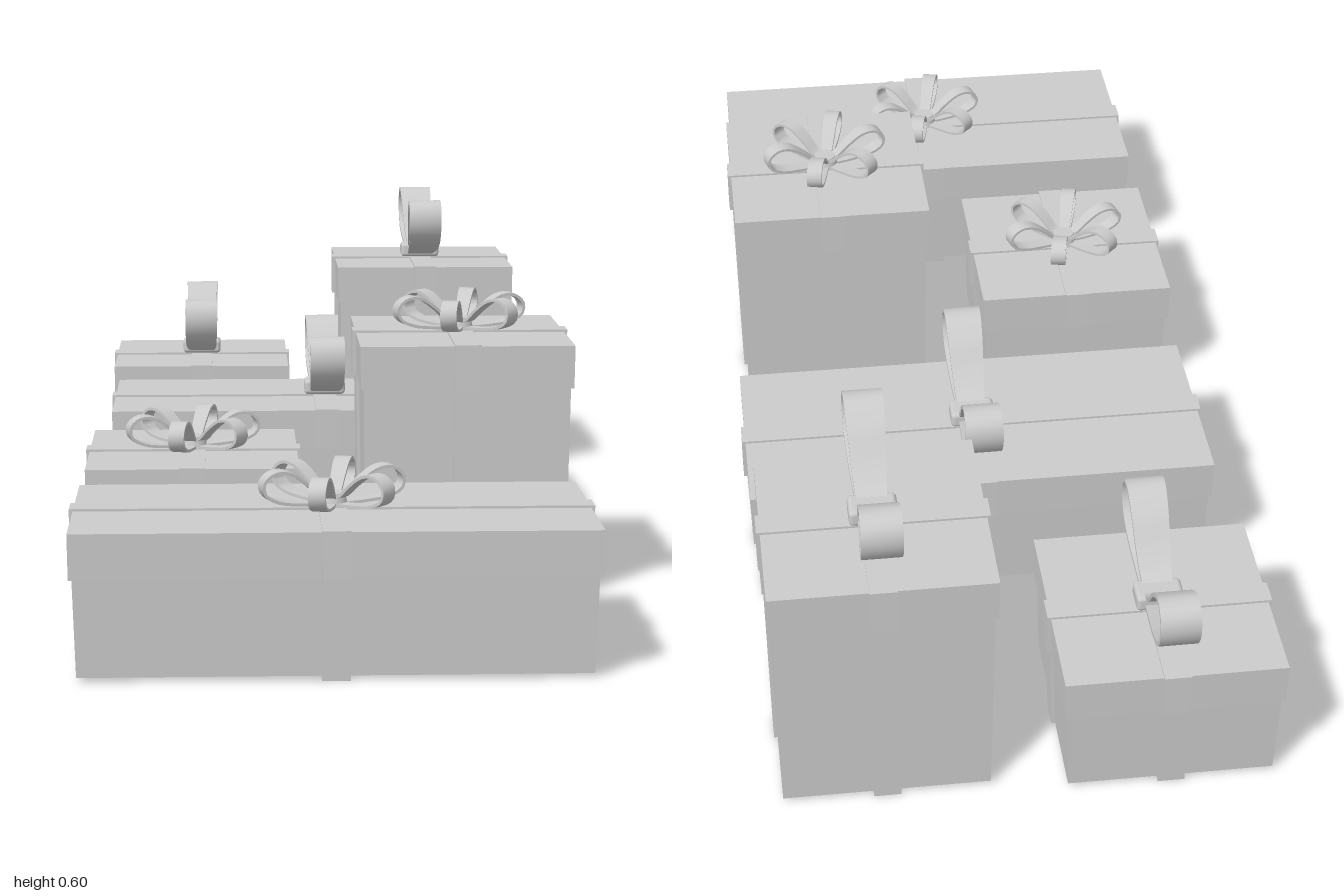
import * as THREE from 'three';
import { toCreasedNormals } from 'three/addons/utils/BufferGeometryUtils.js';
import { RoundedBoxGeometry } from 'three/addons/geometries/RoundedBoxGeometry.js';

const grey = new THREE.MeshStandardMaterial({ color: 0xcccccc });
const LID = 0.075, DEPTH = 0.375, BAND = 0.046, BASE = 0.007;

function addMesh(parent, name, geometry, y = 0) {
  const mesh = new THREE.Mesh(geometry, grey);
  mesh.name = name;
  mesh.position.y = y;
  parent.add(mesh);
  return mesh;
}

// Box from y0 to y1 whose lower corners are pulled in by insetX and insetZ
function taperedBox(w, d, y0, y1, insetX = 0, insetZ = 0) {
  const g = new THREE.BoxGeometry(w, y1 - y0, d);
  const p = g.attributes.position;
  for (let i = 0; i < p.count; i++) {
    if (p.getY(i) < 0) {
      p.setX(i, p.getX(i) - Math.sign(p.getX(i)) * insetX);
      p.setZ(i, p.getZ(i) - Math.sign(p.getZ(i)) * insetZ);
    }
  }
  g.translate(0, (y0 + y1) / 2, 0);
  g.computeVertexNormals();
  return g;
}

// Flat ribbon swept along a [z, y] curve, its width running along x
function ribbonStrip(points, widthAt, thickness, steps = 40) {
  const curve = new THREE.CatmullRomCurve3(points.map(([z, y]) => new THREE.Vector3(0, y, z)));
  const position = [], index = [];
  for (let i = 0; i <= steps; i++) {
    const t = i / steps, c = curve.getPointAt(t), tan = curve.getTangentAt(t);
    const w = widthAt(t) / 2, h = thickness / 2;
    for (const [sx, sn] of [[-1, -1], [1, -1], [1, 1], [-1, 1]]) {
      position.push(sx * w, c.y + sn * h * tan.z, c.z - sn * h * tan.y);
    }
  }
  for (let i = 0; i < steps; i++) {
    for (let j = 0; j < 4; j++) {
      const a = i * 4 + j, b = i * 4 + (j + 1) % 4;
      index.push(a, b, b + 4, a, b + 4, a + 4);
    }
  }
  const g = new THREE.BufferGeometry();
  g.setAttribute('position', new THREE.Float32BufferAttribute(position, 3));
  g.setIndex(index);
  return toCreasedNormals(g, 0.8);
}

// Two tall loops on either side of a knot
function loopBow() {
  const bow = new THREE.Group();
  bow.name = 'loopBow';
  const path = [[0, 0.022], [0.03, 0.033], [0.065, 0.063], [0.105, 0.108], [0.15, 0.134],
    [0.18, 0.122], [0.187, 0.09], [0.168, 0.055], [0.125, 0.034], [0.07, 0.02], [0, 0.006]];
  const g = ribbonStrip(path, t => 0.05 + 0.018 * Math.sin(Math.PI * t), 0.007);
  for (const turn of [0, Math.PI]) addMesh(bow, 'bowLoop', g).rotation.y = turn;
  addMesh(bow, 'bowKnot', new RoundedBoxGeometry(0.082, 0.03, 0.052, 3, 0.008), 0.015);
  return bow;
}

// Six small curled loops around a round button
function starBow() {
  const bow = new THREE.Group();
  bow.name = 'starBow';
  const path = [[0, 0.012], [0.022, 0.018], [0.045, 0.038], [0.075, 0.058], [0.1, 0.06],
    [0.119, 0.045], [0.117, 0.025], [0.095, 0.012], [0.055, 0.006], [0, 0.003]];
  const g = ribbonStrip(path, t => 0.018 + 0.011 * Math.sin(Math.PI * t), 0.005, 32);
  for (let k = 0; k < 6; k++) {
    addMesh(bow, 'bowLoop', g).rotation.y = Math.PI / 2 + THREE.MathUtils.degToRad(16 + 60 * k);
  }
  addMesh(bow, 'bowButton', new THREE.CylinderGeometry(0.02, 0.026, 0.022, 24), 0.011);
  return bow;
}

// Box, lid, crossed ribbons and bow
function gift(name, width, height, makeBow) {
  const group = new THREE.Group();
  group.name = name;
  const split = height - LID, lip = 0.006, inset = 0.005, t = 0.006;
  const bodyW = width - 2 * lip, bodyD = DEPTH - 2 * lip;
  addMesh(group, 'box', taperedBox(bodyW, bodyD, BASE, split + 0.01, inset, inset));
  addMesh(group, 'lid', taperedBox(width, DEPTH, split, height, 0.001, 0.001));

  // Ribbon bands over the front and back, then over the two ends
  addMesh(group, 'bodyRibbon', taperedBox(BAND, bodyD + 2 * t, 0, split + 0.005, 0, inset));
  addMesh(group, 'lidRibbon', taperedBox(BAND, DEPTH + 2 * t, split - 0.001, height + 0.003));
  addMesh(group, 'bodyRibbon', taperedBox(bodyW + 2 * t, BAND, 0.001, split + 0.005, inset, 0));
  addMesh(group, 'lidRibbon', taperedBox(width + 2 * t, BAND, split - 0.001, height + 0.004));

  const bow = makeBow();
  bow.position.y = height + 0.003;
  group.add(bow);
  return group;
}

export function createModel() {
  const model = new THREE.Group();
  model.name = 'giftBoxes';
  const SMALL = 0.242, TALL = 0.458;
  const gifts = [
    ['smallLoopGift', 0.375, SMALL, loopBow, -0.245, -0.807],
    ['tallLoopGift', 0.375, TALL, loopBow, 0.237, -0.785],
    ['longLoopGift', 0.845, SMALL, loopBow, 0.008, -0.263],
    ['smallStarGift', 0.375, SMALL, starBow, -0.25, 0.305],
    ['tallStarGift', 0.375, TALL, starBow, 0.231, 0.313],
    ['longStarGift', 0.845, SMALL, starBow, -0.017, 0.805],
  ];
  for (const [name, width, height, bow, x, z] of gifts) {
    const g = gift(name, width, height, bow);
    g.position.set(x, 0, z);
    model.add(g);
  }
  return model;
}
